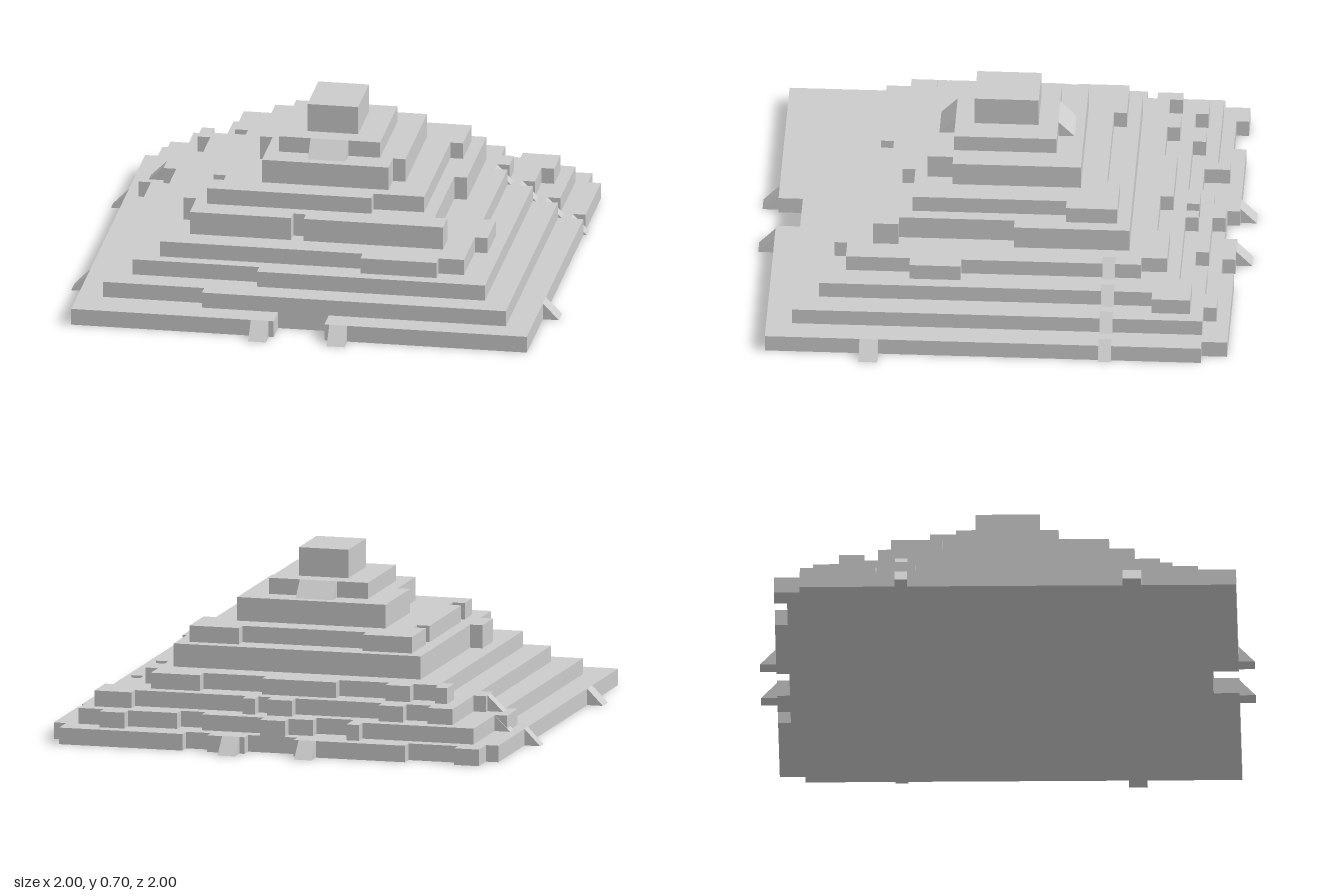
import * as THREE from 'three';

const material = new THREE.MeshStandardMaterial({ color: 0xcccccc, flatShading: true });

// Plan size of one stone block, and the floor height of each tier
const BLOCK = 0.0519;
const FLOOR = [0, 0.068, 0.133, 0.198, 0.263, 0.358, 0.425, 0.522, 0.588, 0.705];

// Each tier is a square two blocks smaller per side than the one below.
// Worn edges, in blocks: side, depth (out is positive), then from-to ranges along it.
const wear = [
  [['front', -2, -2, 2], ['back', -1, -15, -11, -2, 2, 5, 7], ['left', -1, -18, -16], ['right', -1, -18, -16]],
  [['front', -1, -16, -8], ['back', 1, -7, -6, -1, 1, 12, 14], ['back', -1, -6, -3, 6, 8], ['right', 1, -10, -7]],
  [['front', -1, -14, -4], ['back', 1, -14, -12, -10, -8, -1, 1, 2, 3, 12, 15], ['left', 1, -15, -12],
    ['right', 1, -9, -7]],
  [['front', 1, 4, 10], ['back', 1, -13, -12, -10, -8, -4, 2, 7, 11], ['left', 1, 3, 7], ['left', -1, -12, -11],
    ['right', 1, -13, -11]],
  [['front', -1, -2, -1], ['left', -1, -1, 8], ['right', 1, 4, 7]],
  [['front', -1, 4, 8], ['back', 1, -9, -5, 5, 9], ['left', 1, -9, -5], ['right', 1, -9, -5, -4, 5, 6, 8]],
  [['left', -1, 4, 6], ['right', -1, 1, 6]],
  [],
];
// Notches that hold the climbing path on the +x side
wear.slice(0, 4).forEach((edges) => edges.push(['left', -1, -9, -8]));

// Whether the block whose corner is (x, z) belongs to a tier
function isSolid(x, z, half, edges) {
  const cx = x + 0.5, cz = z + 0.5;
  let solid = Math.max(Math.abs(cx), Math.abs(cz)) < half;
  for (const [side, depth, ...ranges] of edges) {
    const along = side === 'front' || side === 'back' ? cx : cz;
    const out = { front: cz, back: -cz, left: cx, right: -cx }[side] - half;
    if (out < Math.min(0, depth) || out > Math.max(0, depth)) continue;
    for (let i = 0; i < ranges.length; i += 2) {
      if (along > ranges[i] && along < ranges[i + 1]) solid = depth > 0;
    }
  }
  return solid;
}

// Follow the outer edges of the solid blocks and keep the corners
function traceOutline(half, edges) {
  const next = new Map();
  const link = (x0, z0, x1, z1) => next.set(`${x0},${z0}`, [x1, z1]);
  const solid = (x, z) => isSolid(x, z, half, edges);
  for (let x = -half - 1; x <= half; x++) {
    for (let z = -half - 1; z <= half; z++) {
      if (!solid(x, z)) continue;
      if (!solid(x, z - 1)) link(x, z, x + 1, z);
      if (!solid(x + 1, z)) link(x + 1, z, x + 1, z + 1);
      if (!solid(x, z + 1)) link(x + 1, z + 1, x, z + 1);
      if (!solid(x - 1, z)) link(x, z + 1, x, z);
    }
  }
  const path = [];
  let point = next.values().next().value;
  for (let i = 0; i < next.size; i++) {
    path.push(point);
    point = next.get(`${point[0]},${point[1]}`);
  }
  const corners = path.filter(([x, z], i) => {
    const before = path.at(i - 1), after = path[(i + 1) % path.length];
    return (before[0] !== x || after[0] !== x) && (before[1] !== z || after[1] !== z);
  });
  return new THREE.Shape(corners.map(([x, z]) => new THREE.Vector2(x * BLOCK, -z * BLOCK)));
}

function createTier(level) {
  const height = FLOOR[level + 1] - FLOOR[level];
  const outline = traceOutline(18 - 2 * level, wear[level]);
  const geometry = new THREE.ExtrudeGeometry(outline, { depth: height, bevelEnabled: false });
  geometry.rotateX(-Math.PI / 2).translate(0, FLOOR[level], 0);
  return new THREE.Mesh(geometry, material);
}

// Wedge against a wall at block position (x, z), sloping down away from it
const ANGLE = { left: 0, right: Math.PI, front: -Math.PI / 2, back: Math.PI / 2 };
function createRamp(x, z, side, level, width) {
  const rise = FLOOR[level + 1] - FLOOR[level];
  const profile = new THREE.Shape([
    new THREE.Vector2(0, 0), new THREE.Vector2(0.066, 0), new THREE.Vector2(0, rise),
  ]);
  const geometry = new THREE.ExtrudeGeometry(profile, { depth: width, bevelEnabled: false });
  geometry.translate(0, 0, -width / 2).rotateY(ANGLE[side]).translate(x * BLOCK, FLOOR[level], z * BLOCK);
  return new THREE.Mesh(geometry, material);
}

export function createModel() {
  const group = new THREE.Group();
  const add = (mesh, name) => { mesh.name = name; group.add(mesh); };

  // Stepped body
  wear.forEach((edges, level) => add(createTier(level), level ? `tier${level}` : 'baseTier'));

  // Crowning block
  const topHeight = FLOOR[9] - FLOOR[8];
  const top = new THREE.Mesh(new THREE.BoxGeometry(4 * BLOCK, topHeight, 5 * BLOCK), material);
  top.position.y = FLOOR[8] + topHeight / 2;
  add(top, 'topBlock');

  // Ramps at the foot of each side
  for (const x of [-3.1, 3.1]) {
    add(createRamp(x, 18, 'front', 0, 0.073), 'frontRamp');
    add(createRamp(x, -18, 'back', 0, 0.073), 'backRamp');
  }
  add(createRamp(18, 9.9, 'left', 0, 0.075), 'leftRamp');
  add(createRamp(-18, 9.9, 'right', 0, 0.075), 'rightRamp');

  // Climbing path on the -x side
  add(createRamp(-18, -8.1, 'right', 0, 0.05), 'rightPathRamp');
  add(createRamp(-16, -9.6, 'right', 1, 0.05), 'rightPathRamp');
  add(createRamp(-15, -8.1, 'right', 2, 0.05), 'rightPathRamp');

  // Straight climbing path in the notches on the +x side
  for (let level = 0; level < 4; level++) {
    add(createRamp(17 - 2 * level, -8.5, 'left', level, BLOCK), 'leftPathRamp');
  }

  // Ramps up to the summit terrace
  add(createRamp(0, 4, 'front', 7, 0.155), 'frontSummitRamp');
  add(createRamp(0, -4, 'back', 7, 0.155), 'backSummitRamp');

  return group;
}
